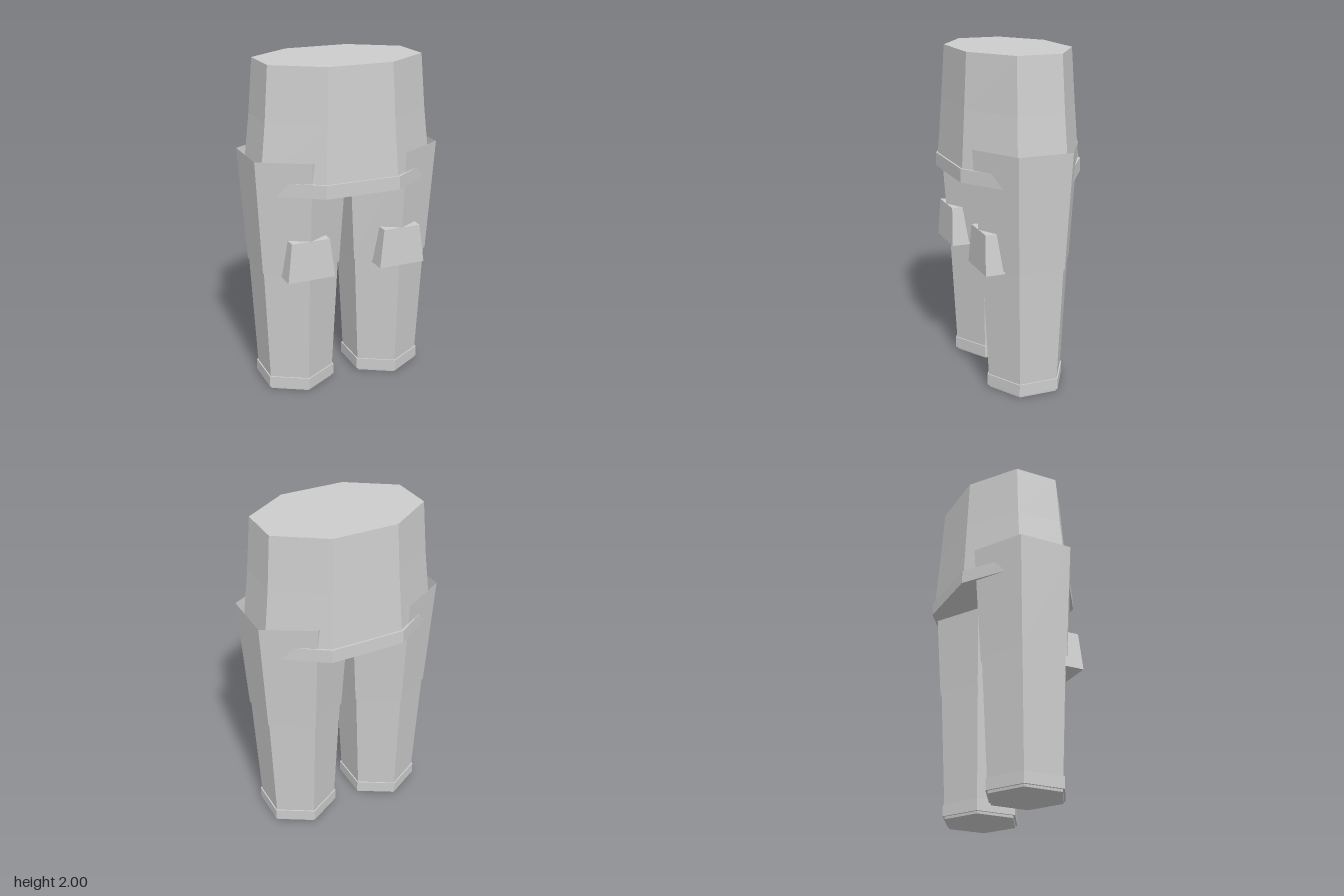
import * as THREE from 'three';

export function createModel() {
  const model = new THREE.Group();
  model.name = 'trousers';
  const cloth = new THREE.MeshStandardMaterial({
    color: 0xcccccc, flatShading: true, side: THREE.DoubleSide,
  });
  cloth.name = 'cloth grey';

  const add = (parent, name, geometry) => {
    const mesh = new THREE.Mesh(geometry, cloth);
    mesh.name = name;
    parent.add(mesh);
    return mesh;
  };

  // Octagonal section of the hips; x and z are distances to the flat sides
  const hipSection = (y0, x0, z0, y1, x1, z1, open) => {
    const g = new THREE.CylinderGeometry(1, 1, y1 - y0, 8, 1, open);
    g.rotateY(Math.PI / 8);
    g.translate(0, (y0 + y1) / 2, 0);
    const p = g.attributes.position;
    const k = 1 / Math.cos(Math.PI / 8);
    for (let i = 0; i < p.count; i++) {
      const top = p.getY(i) > (y0 + y1) / 2;
      p.setX(i, p.getX(i) * k * (top ? x1 : x0));
      p.setZ(i, p.getZ(i) * k * (top ? z1 : z0));
    }
    return g;
  };

  const hips = new THREE.Group();
  hips.name = 'hips';
  model.add(hips);
  add(hips, 'upperHips', hipSection(1.68, 0.5, 0.341, 2, 0.475, 0.322, false));
  add(hips, 'lowerHips', hipSection(1.34, 0.537, 0.364, 1.68, 0.5, 0.341, true));
  add(hips, 'hemBand', hipSection(1.27, 0.55, 0.376, 1.35, 0.55, 0.374, false));

  // Hexagonal leg section with a corner facing forward
  const legSection = (y0, r0, y1, r1, open) => {
    const g = new THREE.CylinderGeometry(r1, r0, y1 - y0, 6, 1, open);
    g.translate(0, (y0 + y1) / 2, 0);
    return g;
  };

  // Knee pad: a box that narrows towards its top
  const padGeometry = () => {
    const g = new THREE.BoxGeometry(2, 0.235, 1);
    const p = g.attributes.position;
    for (let i = 0; i < p.count; i++) {
      const top = p.getY(i) > 0;
      p.setX(i, p.getX(i) * (top ? 0.117 : 0.146));
      p.setZ(i, p.getZ(i) > 0 ? (top ? 0.294 : 0.305) : 0.15);
    }
    g.translate(0, 0.8825, 0);
    return g;
  };

  for (const [side, s] of [['left', 1], ['right', -1]]) {
    const leg = new THREE.Group();
    leg.name = side + 'Leg';
    leg.position.x = s * 0.292;
    model.add(leg);
    add(leg, 'thigh', legSection(0.78, 0.28, 1.47, 0.327, true));
    add(leg, 'shin', legSection(0.08, 0.235, 0.785, 0.272, false));
    add(leg, 'cuff', legSection(0.015, 0.244, 0.085, 0.244, false));
    add(leg, 'sole', legSection(0, 0.23, 0.02, 0.232, false));
    add(leg, 'kneePad', padGeometry());
  }
  return model;
}
